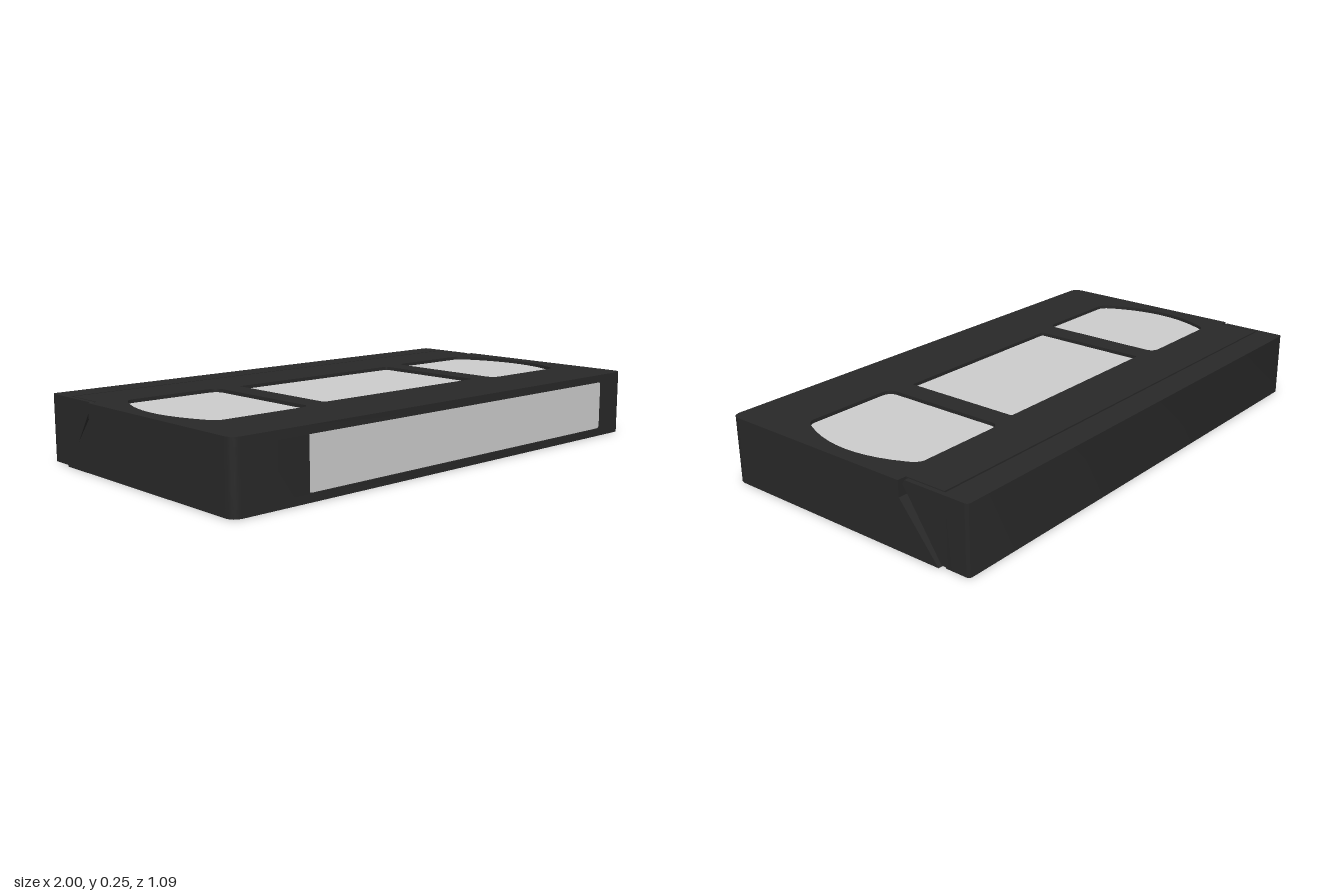
import * as THREE from 'three';
import { toCreasedNormals } from 'three/addons/utils/BufferGeometryUtils.js';

const dark = new THREE.MeshStandardMaterial({ color: 0x282828 });
const grey = new THREE.MeshStandardMaterial({ color: 0xcccccc });

function mesh(name, geometry, material = dark) {
  const m = new THREE.Mesh(geometry, material);
  m.name = name;
  return m;
}

// Extrude a plan shape (drawn with shape y = -z) from height y0 to y1
function slab(shape, y0, y1) {
  const g = new THREE.ExtrudeGeometry(shape, { depth: y1 - y0, bevelEnabled: false, curveSegments: 10 });
  g.rotateX(-Math.PI / 2).translate(0, y0, 0);
  return toCreasedNormals(g, 0.6);
}

// Extrude a side profile of [z, y] points from x0 to x1
function sidePlate(points, x0, x1) {
  const shape = new THREE.Shape(points.map(([z, y]) => new THREE.Vector2(-z, y)));
  const g = new THREE.ExtrudeGeometry(shape, { depth: x1 - x0, bevelEnabled: false });
  return g.rotateY(Math.PI / 2).translate(x0, 0, 0);
}

function roundRect(x0, y0, x1, y1, r) {
  const s = new THREE.Shape();
  s.moveTo(x0 + r, y0);
  s.lineTo(x1 - r, y0).quadraticCurveTo(x1, y0, x1, y0 + r);
  s.lineTo(x1, y1 - r).quadraticCurveTo(x1, y1, x1 - r, y1);
  s.lineTo(x0 + r, y1).quadraticCurveTo(x0, y1, x0, y1 - r);
  s.lineTo(x0, y0 + r).quadraticCurveTo(x0, y0, x0 + r, y0);
  return s;
}

// Shell outline: rounded front corners, narrower neck under the door flaps
function shellPlan(zBack, labelNotch = false) {
  const s = new THREE.Shape(), f = -0.545, r = 0.04, neck = 0.965;
  s.moveTo(-neck, -zBack);
  s.lineTo(-neck, 0.27).lineTo(-1, 0.27).lineTo(-1, f + r);
  s.quadraticCurveTo(-1, f, -1 + r, f);
  if (labelNotch) s.lineTo(-0.7, f).lineTo(-0.7, f + 0.015).lineTo(0.86, f + 0.015).lineTo(0.86, f);
  s.lineTo(1 - r, f).quadraticCurveTo(1, f, 1, f + r);
  s.lineTo(1, 0.27).lineTo(neck, 0.27).lineTo(neck, -zBack);
  s.closePath();
  return s;
}

// Reel window with a bowed outer end; s = +1 left, -1 right
function reelWindow(s) {
  const w = new THREE.Shape(), top = 0.235, bot = -0.295, c = 0.04;
  w.moveTo(s * (0.48 + c), top);
  w.lineTo(s * 0.84, top).quadraticCurveTo(s * 0.87, top, s * 0.888, top - 0.04);
  w.quadraticCurveTo(s * 0.998, -0.03, s * 0.888, bot + 0.04);
  w.quadraticCurveTo(s * 0.87, bot, s * 0.84, bot);
  w.lineTo(s * (0.48 + c), bot).quadraticCurveTo(s * 0.48, bot, s * 0.48, bot + c);
  w.lineTo(s * 0.48, top - c).quadraticCurveTo(s * 0.48, top, s * (0.48 + c), top);
  return w;
}

const HUB = { x: 0.52, z: 0.075, r: 0.12 };

function addHubHoles(shape, r) {
  for (const s of [-1, 1]) {
    const hole = new THREE.Path();
    hole.absarc(s * HUB.x, -HUB.z, r, 0, Math.PI * 2);
    shape.holes.push(hole);
  }
  return shape;
}

// Toothed drive hub seen through the hole in the underside
function hub(name, material) {
  const g = new THREE.Group();
  g.name = name;
  const ring = new THREE.Shape();
  ring.absarc(0, 0, HUB.r + 0.01, 0, Math.PI * 2);
  const bore = new THREE.Path();
  bore.absarc(0, 0, 0.1, 0, Math.PI * 2);
  ring.holes.push(bore);
  g.add(mesh('hubRing', slab(ring, 0.03, 0.2), material));
  const cap = mesh('hubCap', new THREE.CylinderGeometry(HUB.r, HUB.r, 0.02, 32), material);
  cap.position.y = 0.2;
  g.add(cap);
  for (let i = 0; i < 6; i++) {
    const a = (i * Math.PI) / 3;
    const tooth = mesh('hubTooth', new THREE.BoxGeometry(0.035, 0.15, 0.02), material);
    tooth.position.set(Math.cos(a) * 0.088, 0.115, -Math.sin(a) * 0.088);
    tooth.rotation.y = a;
    g.add(tooth);
  }
  return g;
}

export function createModel() {
  const model = new THREE.Group();
  model.name = 'videoCassette';

  // Shell in three layers: floor, core with label recess, top with windows
  const windows = [reelWindow(1), reelWindow(-1), roundRect(-0.39, -0.265, 0.39, 0.215, 0.01)];
  const topPlan = shellPlan(-0.432);
  topPlan.holes.push(...windows);
  model.add(mesh('shellFloor', slab(addHubHoles(shellPlan(-0.445), HUB.r), 0, 0.03)));
  model.add(mesh('shellCore', slab(addHubHoles(shellPlan(-0.445, true), HUB.r + 0.01), 0.03, 0.22)));
  model.add(mesh('shellTop', slab(topPlan, 0.22, 0.25)));

  // Recessed window panes
  windows.forEach((w, i) => {
    model.add(mesh(['leftWindow', 'rightWindow', 'middleWindow'][i], slab(w, 0.215, 0.237), grey));
  });

  // Spine label
  const label = new THREE.ExtrudeGeometry(roundRect(-0.7, 0.03, 0.86, 0.22, 0.015), { depth: 0.012, bevelEnabled: false });
  label.translate(0, 0, 0.527);
  model.add(mesh('spineLabel', label, grey));

  // Hinged tape door with its side flaps, and the sloped shell cheeks below them
  model.add(mesh('tapeDoor', slab(roundRect(-0.987, 0.44, 0.987, 0.545, 0.015), 0, 0.25)));
  const flap = [[-0.5, 0], [-0.43, 0.005], [-0.276, 0.235], [-0.285, 0.25], [-0.5, 0.25]];
  const cheek = [[-0.26, 0], [-0.26, 0.19], [-0.272, 0.19], [-0.43, 0]];
  for (const [side, s] of [['left', 1], ['right', -1]]) {
    const span = (a, b) => (s > 0 ? [a, b] : [-b, -a]);
    model.add(mesh(side + 'DoorFlap', sidePlate(flap, ...span(0.97, 0.987))));
    model.add(mesh(side + 'Cheek', sidePlate(cheek, ...span(0.96, 1))));
    const h = hub(side + 'Hub', s > 0 ? grey : dark);
    h.position.set(s * HUB.x, 0, HUB.z);
    model.add(h);
  }
  return model;
}
